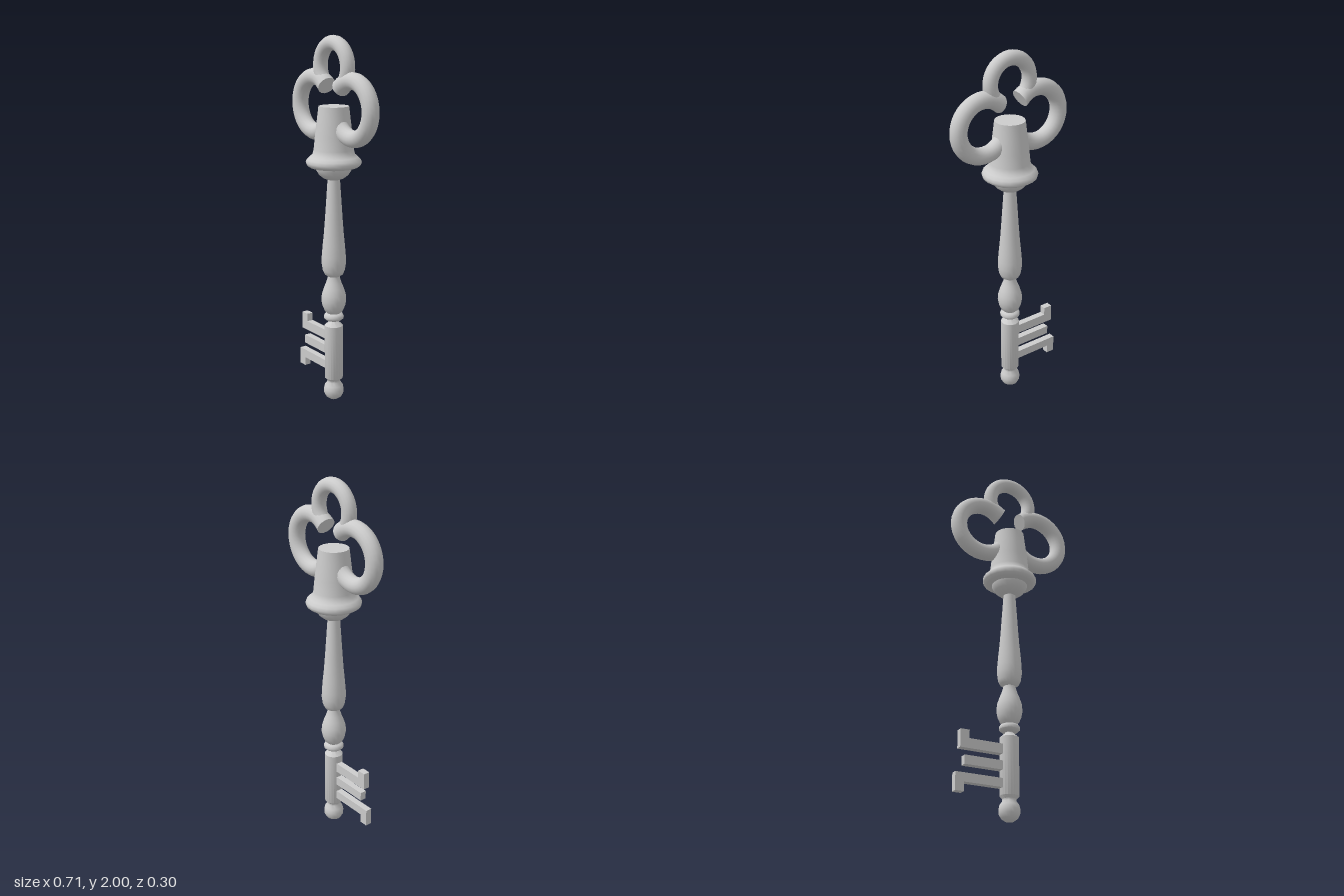
import * as THREE from 'three';
import { toCreasedNormals } from 'three/addons/utils/BufferGeometryUtils.js';

const material = new THREE.MeshStandardMaterial({ color: 0xcccccc });

function addMesh(parent, name, geometry) {
  const mesh = new THREE.Mesh(geometry, material);
  mesh.name = name;
  parent.add(mesh);
  return mesh;
}

// Turned part from [radius, height] pairs, bottom to top
function turned(parent, name, profile) {
  const points = profile.map(([r, y]) => new THREE.Vector2(r, y));
  return addMesh(parent, name, toCreasedNormals(new THREE.LatheGeometry(points, 20), 0.75));
}

// Slants and widens the vertices close to the start of a ring of radius R
function flareStart(geometry, R) {
  const p = geometry.attributes.position;
  for (let i = 0; i < p.count; i++) {
    const x = p.getX(i), y = p.getY(i);
    const angle = Math.abs(Math.atan2(y, x));
    const w = Math.max(0, 1 - angle / 0.45);
    p.setY(i, y + w * (Math.hypot(x, y) - R) * 0.3);
    p.setZ(i, p.getZ(i) * (1 + 0.18 * w));
  }
  geometry.computeVertexNormals();
  return geometry;
}

// Side loop of the bow: open ring whose far end runs into the socket
function sideLoop(name) {
  const R = 0.147, r = 0.045, deg = Math.PI / 180;
  const loop = new THREE.Group();
  loop.name = name;
  const ring = new THREE.Group();
  ring.position.set(-0.165, 1.631, 0);
  ring.rotation.z = 46 * deg;
  loop.add(ring);
  const tube = new THREE.TorusGeometry(R, r, 16, 28, 284 * deg);
  addMesh(ring, name + 'Tube', toCreasedNormals(flareStart(tube, R), 0.9));
  const cap = new THREE.CircleGeometry(r, 16).rotateX(Math.PI / 2).translate(R, 0, 0);
  addMesh(ring, name + 'EndCap', flareStart(cap, R));
  return loop;
}

export function createModel() {
  const key = new THREE.Group();
  key.name = 'key';

  // Round tip and straight lower shaft
  turned(key, 'lowerShaft', [
    [0, 0], [0.022, 0.004], [0.042, 0.018], [0.054, 0.04], [0.055, 0.062],
    [0.05, 0.085], [0.036, 0.104], [0.036, 0.115], [0.05, 0.13],
    [0.05, 0.435], [0.022, 0.46], [0.022, 0.475],
  ]);

  // Thin collar ring
  turned(key, 'collar', [
    [0.022, 0.463], [0.043, 0.468], [0.054, 0.478], [0.055, 0.49],
    [0.048, 0.502], [0.035, 0.508], [0.035, 0.52],
  ]);

  // Vase-shaped turning
  turned(key, 'baluster', [
    [0.034, 0.505], [0.05, 0.52], [0.062, 0.548], [0.068, 0.58], [0.065, 0.615],
    [0.054, 0.65], [0.042, 0.68], [0.034, 0.705], [0.031, 0.725],
  ]);

  // Long tapering stem
  turned(key, 'stem', [
    [0.031, 0.715], [0.05, 0.728], [0.06, 0.75], [0.066, 0.79], [0.065, 0.83],
    [0.06, 0.89], [0.053, 0.96], [0.047, 1.04], [0.041, 1.13], [0.033, 1.25], [0.033, 1.27],
  ]);

  // Bell-shaped socket with a flange and a closed top
  turned(key, 'socket', [
    [0.03, 1.248], [0.055, 1.257], [0.08, 1.277], [0.094, 1.3], [0.097, 1.312],
    [0.125, 1.316], [0.143, 1.328], [0.148, 1.343], [0.143, 1.358], [0.128, 1.372],
    [0.112, 1.386], [0.106, 1.41], [0.099, 1.48], [0.088, 1.57], [0.08, 1.637], [0, 1.637],
  ]);

  // Bow: two side loops and a top arch
  key.add(sideLoop('rightLoop'));
  const leftLoop = sideLoop('leftLoop');
  leftLoop.rotation.y = Math.PI;
  key.add(leftLoop);
  const drop = 0.62;
  const arch = new THREE.TorusGeometry(0.12, 0.039, 16, 24, Math.PI + 2 * drop);
  const topArch = addMesh(key, 'topArch', arch);
  topArch.position.y = 1.841;
  topArch.rotation.z = -drop;

  // Teeth: outlines in x, y
  const teeth = {
    upperTooth: [[-0.03, 0.341], [-0.03, 0.393], [-0.232, 0.393], [-0.232, 0.437], [-0.282, 0.437], [-0.282, 0.341]],
    middleTooth: [[-0.03, 0.257], [-0.03, 0.305], [-0.257, 0.305], [-0.257, 0.257]],
    lowerTooth: [[-0.03, 0.167], [-0.03, 0.214], [-0.305, 0.214], [-0.305, 0.119], [-0.257, 0.119], [-0.257, 0.167]],
  };
  const depth = 0.036;
  for (const [name, outline] of Object.entries(teeth)) {
    const shape = new THREE.Shape(outline.map(([x, y]) => new THREE.Vector2(x, y)));
    const tooth = new THREE.ExtrudeGeometry(shape, { depth, bevelEnabled: false });
    addMesh(key, name, tooth.translate(0, 0, -depth / 2));
  }

  return key;
}
